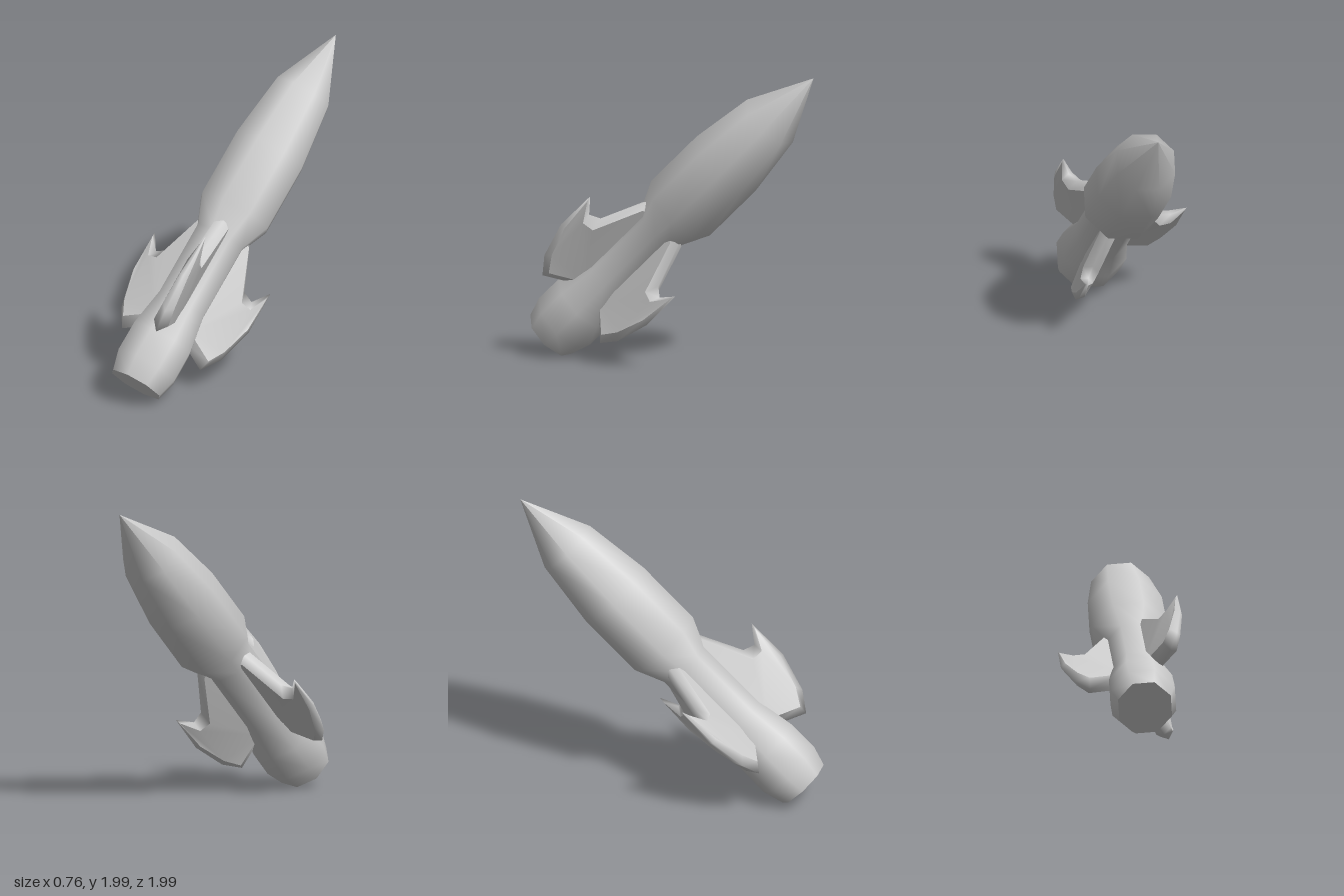
import * as THREE from 'three';

const rad = THREE.MathUtils.degToRad;
const material = new THREE.MeshStandardMaterial({ color: 0xcccccc });

// Fin outline, counterclockwise: radius and height of the sharp rim,
// then radius, height and half thickness of the raised side face
const FIN = [
  { rim: [0.12, 0.41], face: [0.12, 0.475, 0.053] },
  { rim: [0.335, 0.311], face: [0.335, 0.378, 0.053] },
  { rim: [0.425, 0.438], face: [0.405, 0.49, 0.043] },
  { rim: [0.497, 0.69], face: [0.472, 0.7, 0.03] },
  { rim: [0.495, 0.983], face: [0.487, 0.945, 0.01] },
  { rim: [0.41, 0.87], face: [0.413, 0.815, 0.043] },
  { rim: [0.335, 0.897], face: [0.335, 0.82, 0.053] },
  { rim: [0.19, 1.2], face: [0.19, 1.15, 0.053] },
  { rim: [0.12, 1.215], face: [0.12, 1.17, 0.053] },
];

function indexed(points, index) {
  const geometry = new THREE.BufferGeometry();
  geometry.setAttribute('position', new THREE.Float32BufferAttribute(points.flat(), 3));
  geometry.setIndex(index);
  geometry.computeVertexNormals();
  return geometry;
}

function part(name, geometry) {
  const mesh = new THREE.Mesh(geometry, material);
  mesh.name = name;
  return mesh;
}

// One fin: two side faces joined by a smooth bevel that meets at the rim
function createFin(name) {
  const fin = new THREE.Group();
  fin.name = name;
  const n = FIN.length;
  const front = FIN.map(({ face }) => face);
  const rim = FIN.map(({ rim: [r, h] }) => [r, h, 0]);
  const back = front.map(([r, h, t]) => [r, h, -t]);

  const triangles = THREE.ShapeUtils.triangulateShape(
    front.map(([r, h]) => new THREE.Vector2(r, h)), []);
  fin.add(part('finFace', indexed(front, triangles.flat())));
  fin.add(part('finFace', indexed(back, triangles.map(([a, b, c]) => [a, c, b]).flat())));

  const index = [];
  for (let row = 0; row < 2; row++) {
    for (let i = 0; i < n; i++) {
      const j = (i + 1) % n;
      const a = row * n + i, b = row * n + j;
      index.push(a, b, b + n, a, b + n, a + n);
    }
  }
  fin.add(part('finBevel', indexed([...back, ...rim, ...front], index)));
  return fin;
}

export function createModel() {
  const model = new THREE.Group();
  model.name = 'rocket';

  // Eight-sided hull: flared tail, narrow waist, wide body and pointed nose
  const profile = [
    [0.185, 0], [0.224, 0.134], [0.222, 0.34], [0.177, 0.6], [0.177, 1.11],
    [0.26, 1.3], [0.26, 1.76], [0.203, 2.2], [0, 2.64],
  ].map(([r, h]) => new THREE.Vector2(r, h));
  model.add(part('hull', new THREE.LatheGeometry(profile, 8, rad(15))));

  // Flat tail end
  const tail = new THREE.CircleGeometry(0.185, 8, rad(30));
  tail.rotateX(Math.PI / 2);
  model.add(part('tailEnd', tail));

  // Three fins around the waist
  for (const [name, angle] of [['rightFin', 180], ['upperLeftFin', 60], ['lowerLeftFin', -60]]) {
    const fin = createFin(name);
    fin.rotation.y = -rad(angle);
    model.add(fin);
  }

  // Tilted as if climbing, nose up and to the back
  model.rotation.x = -Math.PI / 4;
  model.position.set(0.103, 0.135, 0.873);

  const root = new THREE.Group();
  root.name = 'tiltedRocket';
  root.add(model);
  return root;
}
